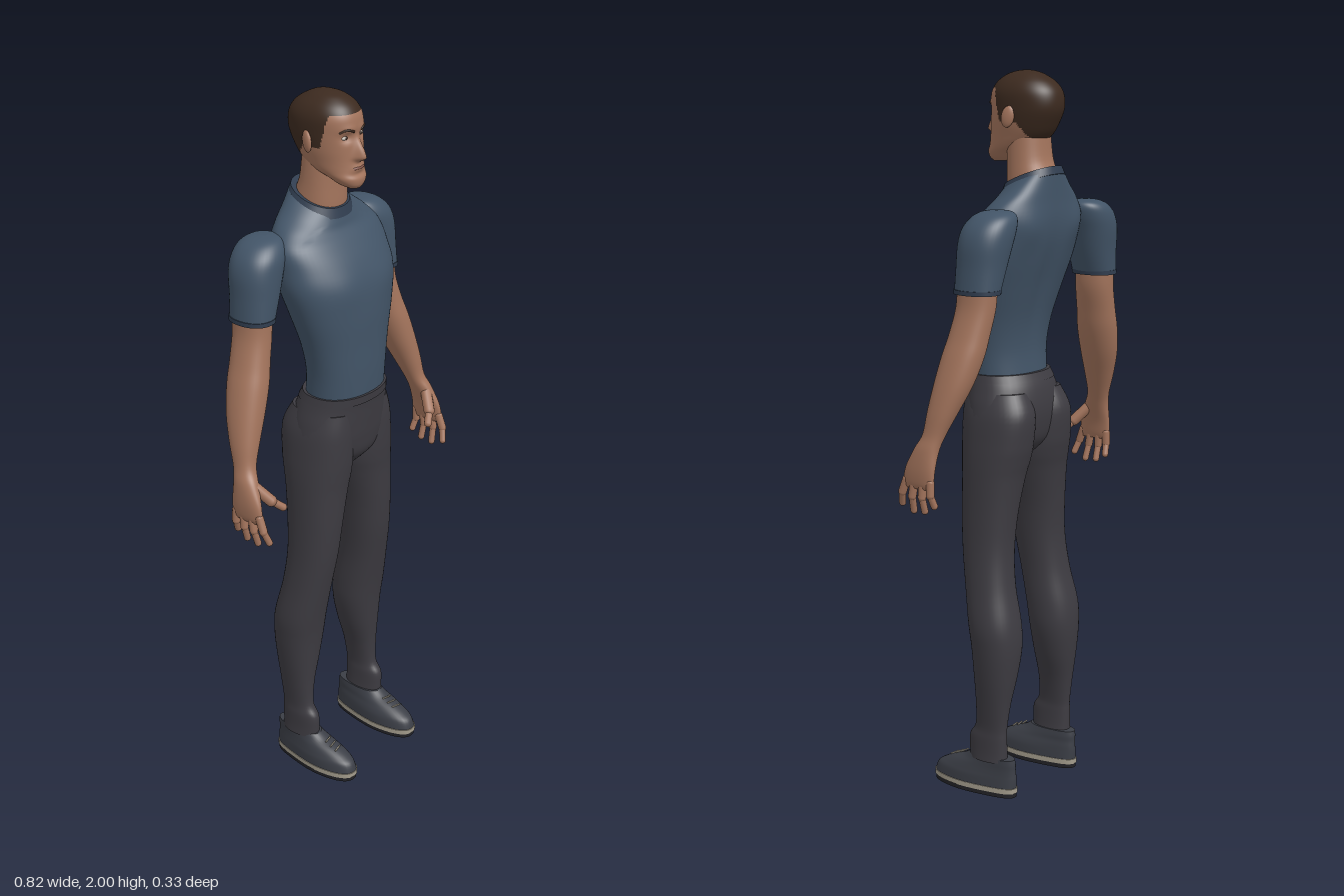
import * as THREE from 'three';

const mat = (name, color) => {
  const m = new THREE.MeshStandardMaterial({ color });
  m.name = name;
  return m;
};

// Smooth skin through horizontal rings [y, x0, x1, zFront, zBack, tilt, squareness].
// push(p) moves single points; paint(p) picks a material index for each quad.
function loft(rows, { segs = 40, steps = 5, push, paint = () => 0 } = {}) {
  const keys = rows.map(([y, x0, x1, zf, zb, tilt = 0, e = 2.2]) => [y, x0, x1, zf, zb, tilt, e])
    .sort((a, b) => a[0] - b[0]);
  const key = (i) => keys[Math.min(Math.max(i, 0), keys.length - 1)];
  const n = (keys.length - 1) * steps;
  const pts = [];
  for (let i = 0; i <= n; i++) {
    const k = Math.min(Math.floor(i / steps), keys.length - 2), t = i / steps - k;
    const [a, b, c, d] = [key(k - 1), key(k), key(k + 1), key(k + 2)];
    const [y, x0, x1, zf, zb, tilt, e] = b.map((bv, q) => bv + 0.5 * t * (c[q] - a[q]
      + t * (2 * a[q] - 5 * bv + 4 * c[q] - d[q] + t * (3 * (bv - c[q]) + d[q] - a[q]))));
    const round = (v) => Math.sign(v) * Math.abs(v) ** (2 / e);
    for (let j = 0; j < segs; j++) {
      const ang = (j / segs) * Math.PI * 2;
      const dz = round(Math.cos(ang)) * (zf - zb) / 2;
      const p = new THREE.Vector3((x0 + x1) / 2 + round(Math.sin(ang)) * (x1 - x0) / 2,
        y + tilt * dz, (zf + zb) / 2 + dz);
      if (push) push(p);
      pts.push(p);
    }
  }
  const faces = [[], []];
  for (let i = 0; i < n; i++) for (let j = 0; j < segs; j++) {
    const k = (j + 1) % segs;
    const a = i * segs + j, b = i * segs + k, c = b + segs, d = a + segs;
    const mid = pts[a].clone().add(pts[c]).multiplyScalar(0.5);
    faces[paint(mid)].push(a, b, c, a, c, d);
  }
  // end caps with their own points, so that the rims stay sharp
  for (const [start, top] of [[0, false], [n * segs, true]]) {
    const ring = pts.slice(start, start + segs).map((p) => p.clone());
    const centre = ring.reduce((s, p) => s.add(p), new THREE.Vector3()).divideScalar(segs);
    const base = pts.length;
    const list = faces[paint(centre)];
    pts.push(...ring, centre);
    for (let j = 0; j < segs; j++) {
      const k = (j + 1) % segs;
      list.push(base + segs, base + (top ? j : k), base + (top ? k : j));
    }
  }
  const geo = new THREE.BufferGeometry().setFromPoints(pts);
  geo.setIndex([...faces[0], ...faces[1]]);
  geo.addGroup(0, faces[0].length, 0);
  if (faces[1].length) geo.addGroup(faces[0].length, faces[1].length, 1);
  geo.computeVertexNormals();
  return geo;
}

const sym = (rows) => rows.map(([y, x, ...rest]) => [y, -x, x, ...rest]);
const bell = (v, c, w) => Math.exp(-(((v - c) / w) ** 2));

function mirrored(geo) {
  const g = geo.clone().scale(-1, 1, 1);
  const ix = g.index.array;
  for (let i = 0; i < ix.length; i += 3) [ix[i], ix[i + 1]] = [ix[i + 1], ix[i]];
  return g;
}

function ball(x, y, z, rx, ry, rz) {
  return new THREE.SphereGeometry(1, 20, 14).scale(rx, ry, rz).translate(x, y, z);
}

function capsule(a, b, r) {
  const from = new THREE.Vector3(...a), to = new THREE.Vector3(...b);
  const dir = to.clone().sub(from);
  const q = new THREE.Quaternion().setFromUnitVectors(new THREE.Vector3(0, 1, 0), dir.clone().normalize());
  const mid = from.add(to).multiplyScalar(0.5);
  return new THREE.CapsuleGeometry(r, dir.length(), 5, 12).applyQuaternion(q).translate(mid.x, mid.y, mid.z);
}

export function createModel() {
  const model = new THREE.Group();
  model.name = 'standingMan';
  const skin = mat('skin', 0xa3745c), hair = mat('hair', 0x3c2a1f), shirt = mat('shirt', 0x425467);
  const hem = mat('shirtHem', 0x303d4f), cloth = mat('trousers', 0x3d3b41), shoe = mat('shoe', 0x3b3e46);
  const welt = mat('paleTrim', 0xa39c8c), sole = mat('darkSole', 0x222226);
  const white = mat('eyeWhite', 0xc4bdb4), lip = mat('lips', 0x85564a);

  const add = (name, geo, material) => {
    const mesh = new THREE.Mesh(geo, material);
    mesh.name = name;
    model.add(mesh);
    return mesh;
  };
  const pair = (name, geo, material) => {
    add('left' + name, geo, material);
    add('right' + name, mirrored(geo), material);
  };

  // shirt body, with chest, shoulder blades and a spine groove
  add('shirtBody', loft(sym([
    [1.17, 0.122, 0.103, -0.075], [1.25, 0.126, 0.106, -0.07], [1.33, 0.141, 0.106, -0.08],
    [1.42, 0.168, 0.106, -0.105], [1.5, 0.19, 0.098, -0.13], [1.56, 0.192, 0.075, -0.145],
    [1.61, 0.19, 0.042, -0.15], [1.65, 0.16, 0.018, -0.148, -0.15], [1.682, 0.118, 0.01, -0.147, -0.3],
    [1.71, 0.084, 0.004, -0.146, -0.4],
  ]), {
    segs: 64,
    push(p) {
      const ax = Math.abs(p.x);
      if (p.z > 0) p.z += 0.004 * bell(ax, 0.08, 0.05) * bell(p.y, 1.5, 0.05);
      else p.z += 0.01 * bell(ax, 0, 0.03) * bell(p.y, 1.45, 0.15) - 0.008 * bell(ax, 0.1, 0.04) * bell(p.y, 1.59, 0.05);
    },
  }), shirt);
  add('collar', loft(sym([[1.698, 0.09, 0.01, -0.15, -0.4], [1.722, 0.078, 0.003, -0.143, -0.4]])), hem);

  // sleeves
  pair('Sleeve', loft([
    [1.437, 0.208, 0.31, -0.023, -0.15], [1.5, 0.185, 0.306, -0.022, -0.156], [1.56, 0.165, 0.303, -0.022, -0.164],
    [1.6, 0.15, 0.29, -0.026, -0.165], [1.628, 0.145, 0.265, -0.04, -0.158], [1.643, 0.155, 0.235, -0.06, -0.14],
    [1.648, 0.185, 0.205, -0.09, -0.11],
  ]), shirt);
  pair('SleeveHem', loft([[1.434, 0.207, 0.312, -0.021, -0.152], [1.446, 0.205, 0.312, -0.021, -0.152]], { steps: 1 }), hem);

  // arms and palms
  pair('Arm', loft([
    [1.47, 0.215, 0.303, -0.032, -0.143], [1.4, 0.217, 0.308, -0.03, -0.14], [1.33, 0.234, 0.328, -0.022, -0.134],
    [1.27, 0.25, 0.35, -0.012, -0.128], [1.2, 0.278, 0.371, -0.005, -0.112], [1.13, 0.312, 0.386, 0, -0.085],
    [1.07, 0.34, 0.394, 0.005, -0.06], [1.03, 0.356, 0.405, 0.025, -0.05], [0.98, 0.374, 0.41, 0.048, -0.048],
    [0.94, 0.382, 0.408, 0.055, -0.046], [0.925, 0.387, 0.402, 0.05, -0.04],
  ]), skin);

  // fingers: knuckle z, tip z, tip y
  [[0.046, 0.07, 0.872], [0.018, 0.03, 0.857], [-0.011, -0.008, 0.86], [-0.036, -0.041, 0.878]].forEach(([z0, z1, y1], i) => {
    const mid = [0.396, (0.945 + y1) / 2, (z0 + z1) / 2 + 0.002];
    pair('Finger' + (i + 1), capsule([0.395, 0.945, z0], mid, 0.0115), skin);
    pair('FingerTip' + (i + 1), capsule(mid, [0.385, y1 + 0.003, z1], 0.0095), skin);
  });
  pair('ThumbBase', capsule([0.376, 1.02, 0.012], [0.348, 0.978, 0.046], 0.016), skin);
  pair('ThumbTip', capsule([0.348, 0.978, 0.046], [0.32, 0.953, 0.063], 0.011), skin);

  // trousers
  add('trouserSeat', loft(sym([
    [0.96, 0.03, 0.05, -0.06], [1.0, 0.11, 0.084, -0.095], [1.05, 0.154, 0.095, -0.108],
    [1.1, 0.152, 0.1, -0.11], [1.15, 0.138, 0.104, -0.1], [1.187, 0.127, 0.109, -0.081],
  ])), cloth);
  add('waistband', loft(sym([[1.165, 0.135, 0.109, -0.096], [1.188, 0.129, 0.111, -0.084]])), cloth);
  pair('TrouserLeg', loft([
    [1.14, 0.01, 0.135, 0.088, -0.095], [1.08, 0.003, 0.156, 0.092, -0.122], [1.0, 0.002, 0.166, 0.09, -0.118],
    [0.95, 0.006, 0.17, 0.086, -0.108], [0.9, 0.018, 0.172, 0.081, -0.097], [0.8, 0.04, 0.175, 0.076, -0.085],
    [0.7, 0.052, 0.18, 0.067, -0.08], [0.6, 0.06, 0.19, 0.05, -0.09], [0.5, 0.06, 0.203, 0.032, -0.112],
    [0.43, 0.064, 0.2, 0.022, -0.117], [0.35, 0.082, 0.192, 0.015, -0.11], [0.27, 0.106, 0.182, 0.009, -0.098],
    [0.2, 0.118, 0.175, 0.011, -0.09], [0.165, 0.117, 0.177, 0.031, -0.09], [0.125, 0.115, 0.178, 0.032, -0.09],
    [0.1, 0.112, 0.18, 0.03, -0.09],
  ]), cloth);

  // shoes: narrower at the heel, with a dark sole, a pale welt and laces
  const heel = (p) => { p.x = 0.139 + (p.x - 0.139) * (1 - 0.22 * THREE.MathUtils.smoothstep(-p.z, -0.06, 0.08)); };
  const slab = (y0, y1, g) => loft([y0, y1].map((y) => [y, 0.088 - g, 0.19 + g, 0.163 + g, -0.118 - g, 0, 2.4]),
    { steps: 1, push: heel });
  pair('Sole', slab(0, 0.013, -0.001), sole);
  pair('Welt', slab(0.013, 0.027, 0.002), welt);
  const upper = loft([
    [0.025, 0.088, 0.19, 0.163, -0.117, 0, 2.4], [0.05, 0.089, 0.189, 0.154, -0.118], [0.065, 0.092, 0.186, 0.132, -0.117],
    [0.08, 0.097, 0.183, 0.1, -0.116], [0.095, 0.1, 0.181, 0.06, -0.116], [0.11, 0.104, 0.18, 0.036, -0.114],
  ], { push: heel });
  pair('ShoeUpper', upper, shoe);
  [[0.062, 0.1], [0.08, 0.0925], [0.098, 0.085]].forEach(([z, y], i) => {
    const lace = capsule([0.126, y - 0.003, z], [0.152, y - 0.004, z + 0.006], 0.0022);
    pair('Lace' + (i + 1), lace, welt);
  });

  // neck
  add('neck', loft(sym([
    [1.64, 0.068, -0.012, -0.132], [1.7, 0.07, -0.002, -0.136, -0.2], [1.76, 0.065, -0.002, -0.117, -0.1],
    [1.83, 0.06, 0, -0.11],
  ])), skin);

  // head with modelled face; the hairline follows the temples, ears and nape
  const step = THREE.MathUtils.smoothstep;
  const hairline = (z) => (z > -0.06
    ? 1.866 + 0.088 * step(z, -0.014, 0.014)
    : 1.866 - 0.062 * step(-z, 0.06, 0.115));
  const head = add('head', loft(sym([
    [1.757, 0.018, 0.06, 0.025], [1.768, 0.036, 0.067, 0.0], [1.785, 0.051, 0.068, -0.03], [1.805, 0.062, 0.061, -0.085],
    [1.83, 0.068, 0.058, -0.118], [1.86, 0.074, 0.056, -0.138], [1.9, 0.078, 0.054, -0.155], [1.94, 0.077, 0.052, -0.152],
    [1.968, 0.064, 0.036, -0.132], [1.988, 0.041, 0.008, -0.1], [1.997, 0.02, -0.02, -0.075], [2.0, 0.003, -0.045, -0.052],
  ]), {
    segs: 128, steps: 7,
    push(p) {
      if (p.z < 0) return;
      const ax = Math.abs(p.x), w = step(p.z, 0, 0.03);
      const ridge = step(1.905 - p.y, 0, 0.065) * step(p.y, 1.823, 0.842 + 1);
      p.z += w * (0.028 * ridge * bell(ax, 0, 0.008 + 0.006 * ridge)
        + 0.004 * bell(p.y, 1.915, 0.01) * bell(ax, 0.025, 0.025)
        - 0.009 * bell(ax, 0.03, 0.015) * bell(p.y, 1.894, 0.012)
        + 0.005 * bell(ax, 0, 0.02) * bell(p.y, 1.812, 0.01)
        - 0.004 * bell(ax, 0, 0.03) * bell(p.y, 1.795, 0.007));
    },
    paint: (p) => (p.y > hairline(p.z) ? 1 : 0),
  }), [skin, hair]);
  pair('Ear', ball(0, 0, 0, 0.009, 0.029, 0.018).rotateX(-0.2).rotateY(0.35).translate(0.081, 1.88, -0.046), skin);

  // eyes, brows and lips set onto the face surface
  head.updateMatrixWorld();
  const faceZ = (x, y) => new THREE.Raycaster(new THREE.Vector3(x, y, 1), new THREE.Vector3(0, 0, -1))
    .intersectObject(head)[0]?.point.z ?? 0.045;
  const eyeZ = faceZ(0.03, 1.893);
  pair('Eye', ball(0.03, 1.893, eyeZ - 0.003, 0.012, 0.0058, 0.006), white);
  pair('Iris', ball(0.029, 1.893, eyeZ + 0.001, 0.0045, 0.0048, 0.003), hair);
  const along = (points, r) => new THREE.TubeGeometry(new THREE.CatmullRomCurve3(
    points.map(([x, y]) => new THREE.Vector3(x, y, faceZ(x, y)))), 20, r, 8);
  pair('Brow', along([[0.013, 1.909], [0.025, 1.914], [0.038, 1.915], [0.049, 1.908]], 0.0032), hair);
  add('lips', along([[-0.021, 1.811], [-0.01, 1.8125], [0, 1.812], [0.01, 1.8125], [0.021, 1.811]], 0.0032), lip);

  return model;
}
